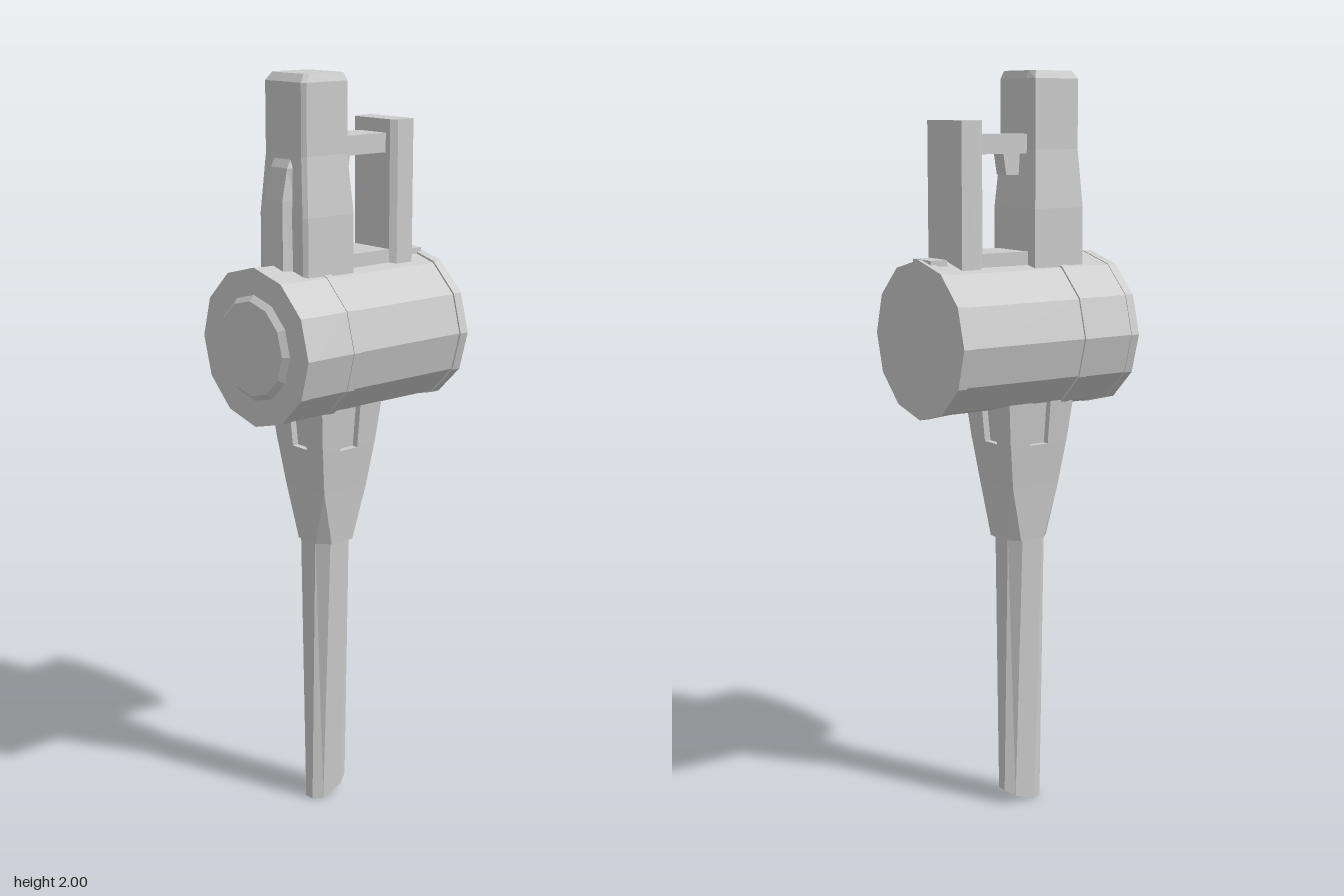
import * as THREE from 'three';

const material = new THREE.MeshStandardMaterial({ color: 0xcccccc, flatShading: true });

function add(group, name, geometry, x = 0, y = 0, z = 0) {
  const mesh = new THREE.Mesh(geometry, material);
  mesh.name = name;
  mesh.position.set(x, y, z);
  group.add(mesh);
  return mesh;
}

// Box given by its minimum and maximum corners
function addBox(group, name, [x0, y0, z0], [x1, y1, z1]) {
  add(group, name, new THREE.BoxGeometry(x1 - x0, y1 - y0, z1 - z0),
    (x0 + x1) / 2, (y0 + y1) / 2, (z0 + z1) / 2);
}

// Capped solid through horizontal sections: [y, [[x, z], ...]], bottom to top.
// Corners run from +x towards +z; lift(x, z, y) may reshape the heights.
function loft(sections, lift = (x, z, y) => y) {
  const out = [];
  const put = (y, [x, z]) => out.push(x, lift(x, z, y), z);
  for (let s = 0; s + 1 < sections.length; s++) {
    const [ya, a] = sections[s], [yb, b] = sections[s + 1];
    a.forEach((p, i) => {
      const j = (i + 1) % a.length;
      put(ya, p); put(yb, b[i]); put(yb, b[j]);
      put(ya, p); put(yb, b[j]); put(ya, a[j]);
    });
  }
  const cap = ([y, pts], top) => {
    const contour = pts.map(p => new THREE.Vector2(...p));
    for (const [i, j, k] of THREE.ShapeUtils.triangulateShape(contour, [])) {
      for (const n of top ? [i, k, j] : [i, j, k]) put(y, pts[n]);
    }
  };
  cap(sections[0], false);
  cap(sections[sections.length - 1], true);
  const g = new THREE.BufferGeometry();
  g.setAttribute('position', new THREE.Float32BufferAttribute(out, 3));
  g.computeVertexNormals();
  return g;
}

// Rectangle with chamfered corners, half width w, from z0 to z1
function octagon(w, z0, z1, cx, cz = cx) {
  return [[w, z0 + cz], [w, z1 - cz], [w - cx, z1], [cx - w, z1],
    [-w, z1 - cz], [-w, z0 + cz], [cx - w, z0], [w - cx, z0]];
}

// Square section with a slot in the middle of each side
function slotted(w, d, cz, slot, depth) {
  const pts = [];
  for (let q = 0; q < 4; q++) {
    const [h, v] = q % 2 ? [d, w] : [w, d];
    const c = Math.round(Math.cos(q * Math.PI / 2)), s = Math.round(Math.sin(q * Math.PI / 2));
    for (const [a, b] of [[h, -v], [h, -slot], [h - depth, -slot], [h - depth, slot], [h, slot]]) {
      pts.push([a * c - b * s, a * s + b * c + cz]);
    }
  }
  return pts;
}

export function createModel() {
  const model = new THREE.Group();
  model.name = 'hammerTool';

  // Twelve-sided drum with raised bands and a bevelled front disc
  const profile = [[0, -0.281], [0.215, -0.281], [0.215, -0.255], [0.21, -0.255],
    [0.21, 0.093], [0.215, 0.093], [0.215, 0.117], [0.213, 0.117], [0.213, 0.243],
    [0.215, 0.243], [0.215, 0.267], [0.143, 0.267], [0.128, 0.281], [0, 0.281]];
  const drum = new THREE.LatheGeometry(profile.map(p => new THREE.Vector2(...p)), 12);
  drum.rotateX(Math.PI / 2);
  drum.scale(1, 0.962, 1);
  add(model, 'drum', drum, 0, 1.32, 0);
  addBox(model, 'drumTab', [-0.042, 1.49, -0.27], [0.042, 1.527, -0.22]);

  // Tall front block: flared base, bevelled top, slightly ridged back
  const block = (w, z0, z1) => [[w, z0 + 0.008], [w, z1 - 0.01], [w - 0.01, z1],
    [0.01 - w, z1], [-w, z1 - 0.01], [-w, z0 + 0.008], [-0.05, z0], [0.05, z0]];
  add(model, 'frontBlock', loft([
    [1.45, block(0.095, 0.008, 0.176)],
    [1.65, block(0.094, 0.008, 0.176)],
    [1.8, block(0.08, 0.018, 0.168)],
    [1.98, block(0.08, 0.018, 0.168)],
    [2, block(0.072, 0.024, 0.152)],
  ]));

  // Tapered fin on the front of the block
  const fin = (wb, wf, z) => [[wb, 0.1], [wb, 0.168], [wf, z], [-wf, z], [-wb, 0.168], [-wb, 0.1]];
  add(model, 'frontFin', loft([
    [1.45, fin(0.05, 0.042, 0.205)],
    [1.69, fin(0.044, 0.034, 0.2)],
    [1.77, fin(0.04, 0.032, 0.182)],
    [1.79, fin(0.038, 0.03, 0.17)],
  ]));

  // Rear plate, bevelled towards the block
  const plate = [[0.081, -0.2], [0.081, -0.146], [0.068, -0.13],
    [-0.068, -0.13], [-0.081, -0.146], [-0.081, -0.2]];
  add(model, 'rearPlate', loft([[1.45, plate], [1.875, plate]]));

  // Links between plate and block
  addBox(model, 'upperBar', [-0.052, 1.79, -0.14], [0.052, 1.84, 0.04]);
  addBox(model, 'lowerStrip', [-0.068, 1.5, -0.14], [0.068, 1.54, 0.04]);
  const stud = (z) => [[0.022, z], [0.022, 0.03], [-0.022, 0.03], [-0.022, z]];
  add(model, 'barStud', loft([[1.735, stud(-0.025)], [1.8, stud(-0.036)]]));

  // Square neck: slotted collar, plain taper, then a change to eight sides
  add(model, 'neckCollar', loft([
    [1.03, slotted(0.094, 0.09, 0.03, 0.029, 0.018)],
    [1.2, slotted(0.112, 0.108, 0.03, 0.029, 0.018)],
  ]));
  add(model, 'neck', loft([
    [0.765, octagon(0.066, -0.037, 0.096, 0.03)],
    [0.915, octagon(0.08, -0.044, 0.104, 0.001)],
    [1.03, octagon(0.094, -0.06, 0.12, 0.001)],
  ]));

  // Flat tapering shaft with its rear lower edge cut away
  const cut = (x, z, y) => y > 0 ? y : 0.04 * Math.max(0, (0.045 - z) / 0.071) ** 1.2;
  add(model, 'shaft', loft([
    [0, octagon(0.028, -0.026, 0.093, 0.014, 0.028)],
    [0.78, octagon(0.06, -0.026, 0.093, 0.03, 0.028)],
  ], cut));

  return model;
}
